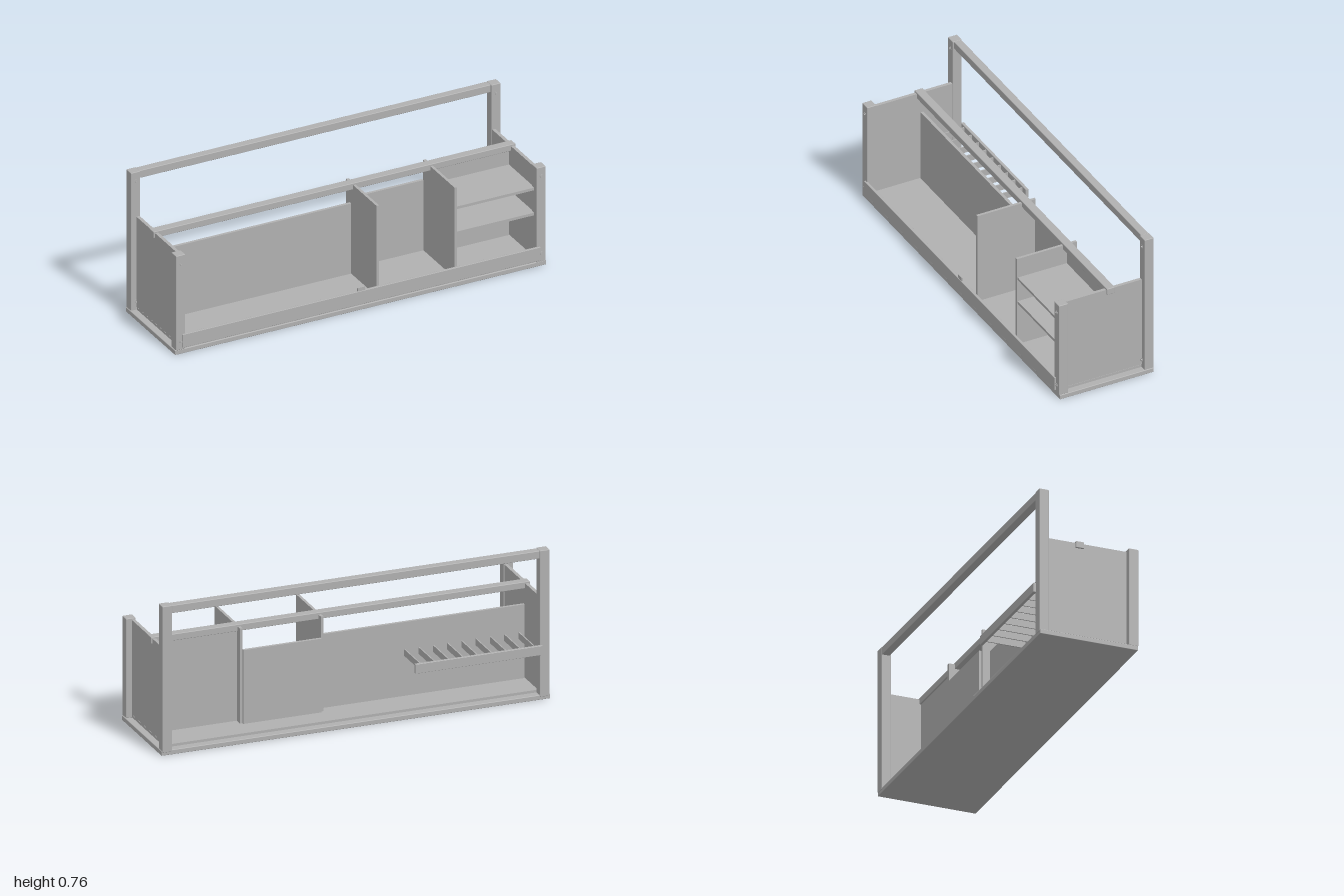
import * as THREE from 'three';
import { RoundedBoxGeometry } from 'three/addons/geometries/RoundedBoxGeometry.js';

export function createModel() {
  const root = new THREE.Group();
  root.name = 'storageBench';
  const grey = new THREE.MeshStandardMaterial({ color: 0xb0b0b0 });
  grey.name = 'grey';

  // Board spanning min to max on each axis, optionally with eased edges
  function board(name, [x0, x1], [y0, y1], [z0, z1], radius = 0) {
    const size = [x1 - x0, y1 - y0, z1 - z0];
    const geometry = radius
      ? new RoundedBoxGeometry(...size, 2, radius)
      : new THREE.BoxGeometry(...size);
    const mesh = new THREE.Mesh(geometry, grey);
    mesh.name = name;
    mesh.position.set((x0 + x1) / 2, (y0 + y1) / 2, (z0 + z1) / 2);
    root.add(mesh);
    return mesh;
  }

  // Bolt head with a washer, facing forward
  function bolt(x, y, z) {
    const group = new THREE.Group();
    group.name = 'bolt';
    for (const [r, depth] of [[0.01, 0.004], [0.005, 0.014]]) {
      const mesh = new THREE.Mesh(new THREE.CylinderGeometry(r, r, depth, 12), grey);
      mesh.rotation.x = Math.PI / 2;
      mesh.name = 'boltPart';
      group.add(mesh);
    }
    group.position.set(x, y, z);
    root.add(group);
  }

  // Base and floor
  board('base', [-1, 1], [0, 0.024], [-0.25, 0.257], 0.003);
  board('floor', [-0.965, 0.965], [0.024, 0.037], [-0.21, 0.25]);

  // Posts, side panels and bolts, mirrored
  for (const s of [-1, 1]) {
    const span = (a, b) => (s > 0 ? [a, b] : [-b, -a]);
    board('frontPost', span(0.946, 0.996), [0.024, 0.533], [0.211, 0.26], 0.003);
    board('backPost', span(0.946, 0.996), [0.015, 0.765], [-0.252, -0.203], 0.003);
    board('sidePanel', span(0.95, 0.967), [0.04, 0.525], [-0.205, 0.213]);
    for (const y of [0.068, 0.483]) bolt(s * 0.971, y, 0.26);
    for (const y of [0.068, 0.715]) bolt(s * 0.971, y, -0.203);
  }

  // Long rails
  board('topRail', [-0.947, 0.947], [0.724, 0.764], [-0.25, -0.21], 0.003);
  board('middleRail', [-0.975, 0.975], [0.499, 0.533], [-0.054, -0.011], 0.003);
  board('frontRail', [-0.965, 0.965], [0.036, 0.107], [0.254, 0.268], 0.002);
  board('latch', [-0.02, 0.02], [0.1, 0.125], [0.257, 0.265]);

  // Back panels, the middle one set further back
  board('leftBackPanel', [-0.95, 0.103], [0.037, 0.415], [-0.046, -0.031]);
  board('middleBackPanel', [0.114, 0.517], [0.037, 0.415], [-0.097, -0.082]);
  board('shelfBackPanel', [0.528, 0.95], [0.037, 0.499], [-0.046, -0.031]);

  // Dividers and shelves
  board('divider', [0.1, 0.114], [0.037, 0.523], [-0.085, 0.23]);
  board('divider', [0.516, 0.53], [0.037, 0.523], [-0.085, 0.238]);
  for (const y of [0.275, 0.41]) {
    board('shelf', [0.53, 0.95], [y - 0.007, y + 0.007], [-0.031, 0.235]);
  }

  // Rear rack with upright slats
  board('rackBar', [-0.955, -0.3], [0.235, 0.283], [-0.267, -0.252], 0.002);
  for (let i = 0; i < 9; i++) {
    const x = -0.922 + i * 0.0735;
    board('rackSlat', [x - 0.003, x + 0.003], [0.242, 0.276], [-0.253, -0.046]);
  }

  return root;
}
